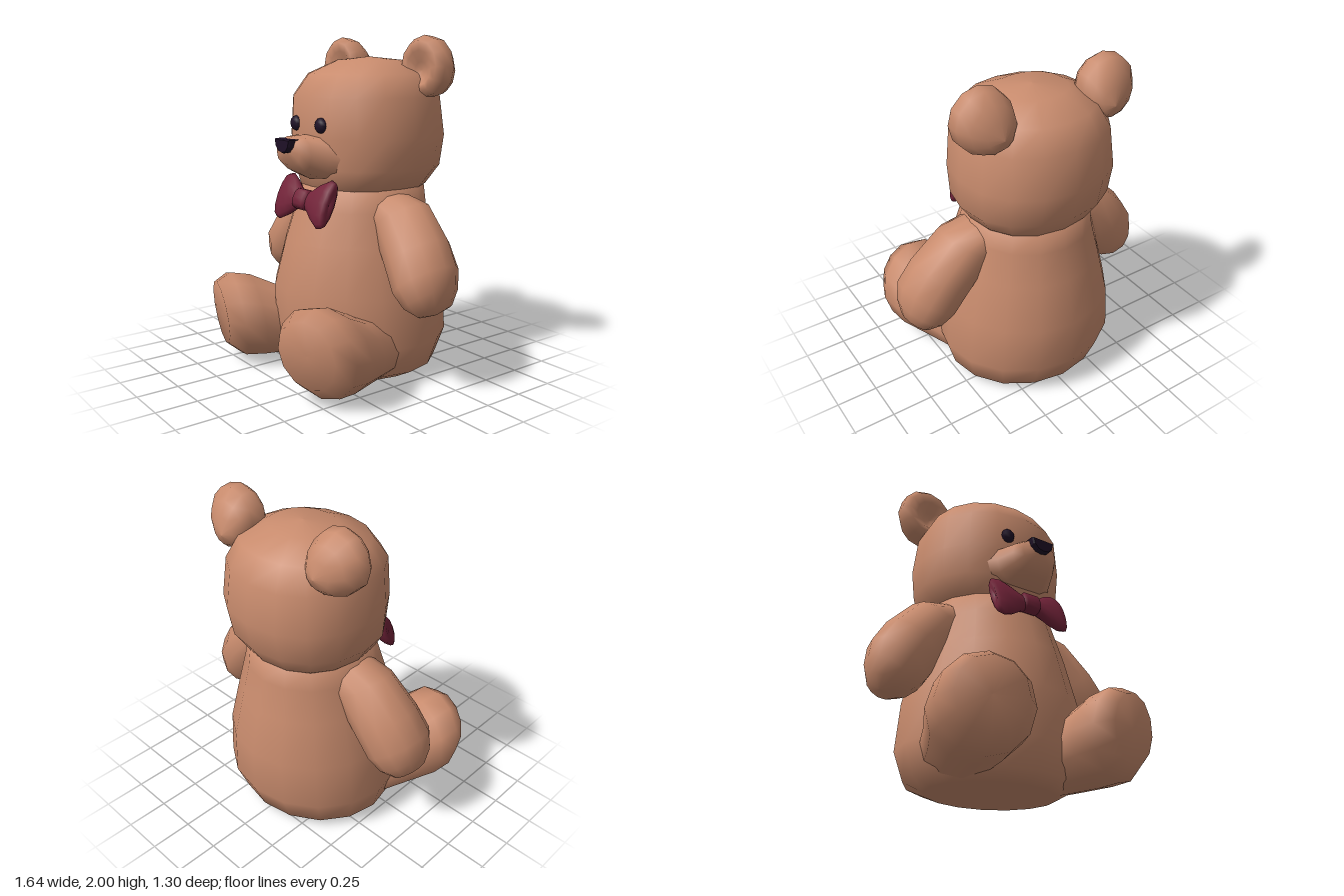
import * as THREE from 'three';

const fur = new THREE.MeshStandardMaterial({ color: 0xc88b6d });
fur.name = 'brown fur';
const satin = new THREE.MeshStandardMaterial({ color: 0x722339 });
satin.name = 'wine red satin';
const dark = new THREE.MeshStandardMaterial({ color: 0x1f1127 });
dark.name = 'dark plum';

// Smooth skin over elliptical rings [x, y, z, ru, rv] set square to one axis;
// power below 1 makes the rings squarer.
function loft(name, material, rings, axis, sides = 12, power = 1) {
  const a = new THREE.Vector3(...axis).normalize();
  const v = Math.abs(a.z) > 0.7 ? new THREE.Vector3(0, 1, 0) : new THREE.Vector3(0, 0, 1);
  v.addScaledVector(a, -v.dot(a)).normalize();
  const u = new THREE.Vector3().crossVectors(a, v);
  const bend = (t) => Math.sign(t) * Math.abs(t) ** power;
  const positions = [];
  const index = [];
  rings.forEach(([x, y, z, ru, rv], i) => {
    for (let j = 0; j < sides; j++) {
      const t = (j / sides) * Math.PI * 2;
      const p = new THREE.Vector3(x, y, z)
        .addScaledVector(u, ru * bend(Math.cos(t)))
        .addScaledVector(v, rv * bend(Math.sin(t)));
      positions.push(p.x, p.y, p.z);
      if (i === rings.length - 1) continue;
      const k = (j + 1) % sides;
      const p0 = i * sides + j, p1 = p0 + sides, q0 = i * sides + k, q1 = q0 + sides;
      index.push(p0, p1, q0, p1, q1, q0);
    }
  });
  const geometry = new THREE.BufferGeometry();
  geometry.setAttribute('position', new THREE.Float32BufferAttribute(positions, 3));
  geometry.setIndex(index);
  geometry.computeVertexNormals();
  const mesh = new THREE.Mesh(geometry, material);
  mesh.name = name;
  return mesh;
}

// The same skin on the left (+x) and right (-x) side
function pair(parent, name, material, rings, axis, sides) {
  for (const [s, side] of [[1, 'left'], [-1, 'right']]) {
    const mirrored = rings.map(([x, ...rest]) => [x * s, ...rest]);
    parent.add(loft(side + name, material, mirrored, [axis[0] * s, axis[1], axis[2]], sides));
  }
}

export function createModel() {
  const bear = new THREE.Group();
  bear.name = 'teddyBear';

  // Torso, flat underneath
  bear.add(loft('body', fur, [
    [0, 0, -0.1, 0, 0],
    [0, 0.005, -0.1, 0.4, 0.34],
    [0, 0.06, -0.12, 0.5, 0.46],
    [0, 0.23, -0.13, 0.55, 0.52],
    [0, 0.52, -0.125, 0.52, 0.525],
    [0, 0.8, -0.13, 0.45, 0.46],
    [0, 1.0, -0.14, 0.395, 0.405],
    [0, 1.13, -0.155, 0.37, 0.375],
    [0, 1.25, -0.16, 0.2, 0.2],
  ], [0, 1, 0], 16));

  // Head and muzzle
  bear.add(loft('head', fur, [
    [0, 1.06, -0.16, 0.3, 0.3],
    [0, 1.13, -0.155, 0.375, 0.375],
    [0, 1.24, -0.18, 0.45, 0.42],
    [0, 1.42, -0.185, 0.46, 0.45],
    [0, 1.65, -0.175, 0.435, 0.43],
    [0, 1.78, -0.185, 0.36, 0.345],
    [0, 1.86, -0.2, 0.2, 0.18],
    [0, 1.88, -0.2, 0, 0],
  ], [0, 1, 0], 16, 0.92));
  bear.add(loft('muzzle', fur, [
    [0, 1.31, 0.1, 0.3, 0.13],
    [0, 1.31, 0.24, 0.2, 0.13],
    [0, 1.33, 0.33, 0.155, 0.105],
    [0, 1.345, 0.385, 0.12, 0.075],
    [0, 1.36, 0.4, 0, 0],
  ], [0, 0, 1], 12, 0.75));

  // Ears: rounded back, rim, then the dished front
  pair(bear, 'Ear', fur, [
    [0.35, 1.76, -0.48, 0, 0],
    [0.36, 1.78, -0.46, 0.08, 0.08],
    [0.375, 1.8, -0.42, 0.135, 0.135],
    [0.39, 1.82, -0.36, 0.17, 0.172],
    [0.39, 1.825, -0.29, 0.175, 0.175],
    [0.385, 1.825, -0.25, 0.145, 0.145],
    [0.375, 1.815, -0.26, 0.1, 0.1],
    [0.36, 1.8, -0.295, 0.05, 0.05],
    [0.36, 1.8, -0.3, 0, 0],
  ], [0, 0, 1], 12);

  // Arms hanging outward
  pair(bear, 'Arm', fur, [
    [0.24, 1.03, -0.13, 0.13, 0.15],
    [0.4, 0.96, -0.13, 0.18, 0.18],
    [0.56, 0.78, -0.11, 0.195, 0.2],
    [0.65, 0.65, -0.095, 0.19, 0.205],
    [0.7, 0.56, -0.09, 0.15, 0.17],
    [0.735, 0.5, -0.09, 0.09, 0.11],
    [0.745, 0.48, -0.09, 0, 0],
  ], [0.6, -0.8, 0], 12);

  // Legs stretched forward, with broad flat soles
  pair(bear, 'Leg', fur, [
    [0.2, 0.2, -0.2, 0.15, 0.15],
    [0.28, 0.2, -0.02, 0.22, 0.19],
    [0.36, 0.23, 0.2, 0.24, 0.215],
    [0.415, 0.278, 0.38, 0.28, 0.26],
    [0.445, 0.295, 0.5, 0.27, 0.268],
    [0.47, 0.31, 0.59, 0.2, 0.2],
    [0.47, 0.31, 0.585, 0, 0],
  ], [0.27, -0.12, 0.96], 12);

  // Eyes
  for (const [s, side] of [[1, 'left'], [-1, 'right']]) {
    const eye = new THREE.Mesh(new THREE.SphereGeometry(0.045, 8, 6), dark);
    eye.name = side + 'Eye';
    eye.scale.z = 0.7;
    eye.position.set(s * 0.125, 1.495, 0.243);
    bear.add(eye);
  }

  // Nose: straight on top, tapering below
  const outline = [[-0.07, 1.415], [-0.062, 1.38], [-0.035, 1.352], [0, 1.345],
    [0.035, 1.352], [0.062, 1.38], [0.07, 1.415]];
  const noseShape = new THREE.Shape(outline.map(([x, y]) => new THREE.Vector2(x, y)));
  const nose = new THREE.Mesh(new THREE.ExtrudeGeometry(noseShape, {
    depth: 0.05, bevelSize: 0.006, bevelThickness: 0.012, bevelSegments: 1,
  }), dark);
  nose.name = 'nose';
  nose.position.z = 0.366;
  bear.add(nose);

  // Bow tie leaning against the chest
  const bow = new THREE.Group();
  bow.name = 'bowTie';
  pair(bow, 'BowLoop', satin, [
    [0.02, 0, 0, 0.05, 0.035],
    [0.07, 0, 0, 0.07, 0.04],
    [0.13, 0, 0, 0.115, 0.048],
    [0.19, 0, 0, 0.145, 0.045],
    [0.235, 0, 0, 0.135, 0.042],
    [0.25, 0, 0, 0.1, 0.025],
    [0.235, 0, 0, 0, 0],
  ], [1, 0, 0], 12);
  bow.add(loft('bowKnot', satin, [
    [-0.058, 0, 0.01, 0.03, 0.02],
    [-0.045, 0, 0.01, 0.062, 0.05],
    [0.045, 0, 0.01, 0.062, 0.05],
    [0.058, 0, 0.01, 0.03, 0.02],
  ], [1, 0, 0], 12, 0.8));
  bow.rotation.x = -0.4;
  bow.position.set(0, 1.055, 0.27);
  bear.add(bow);

  return bear;
}
